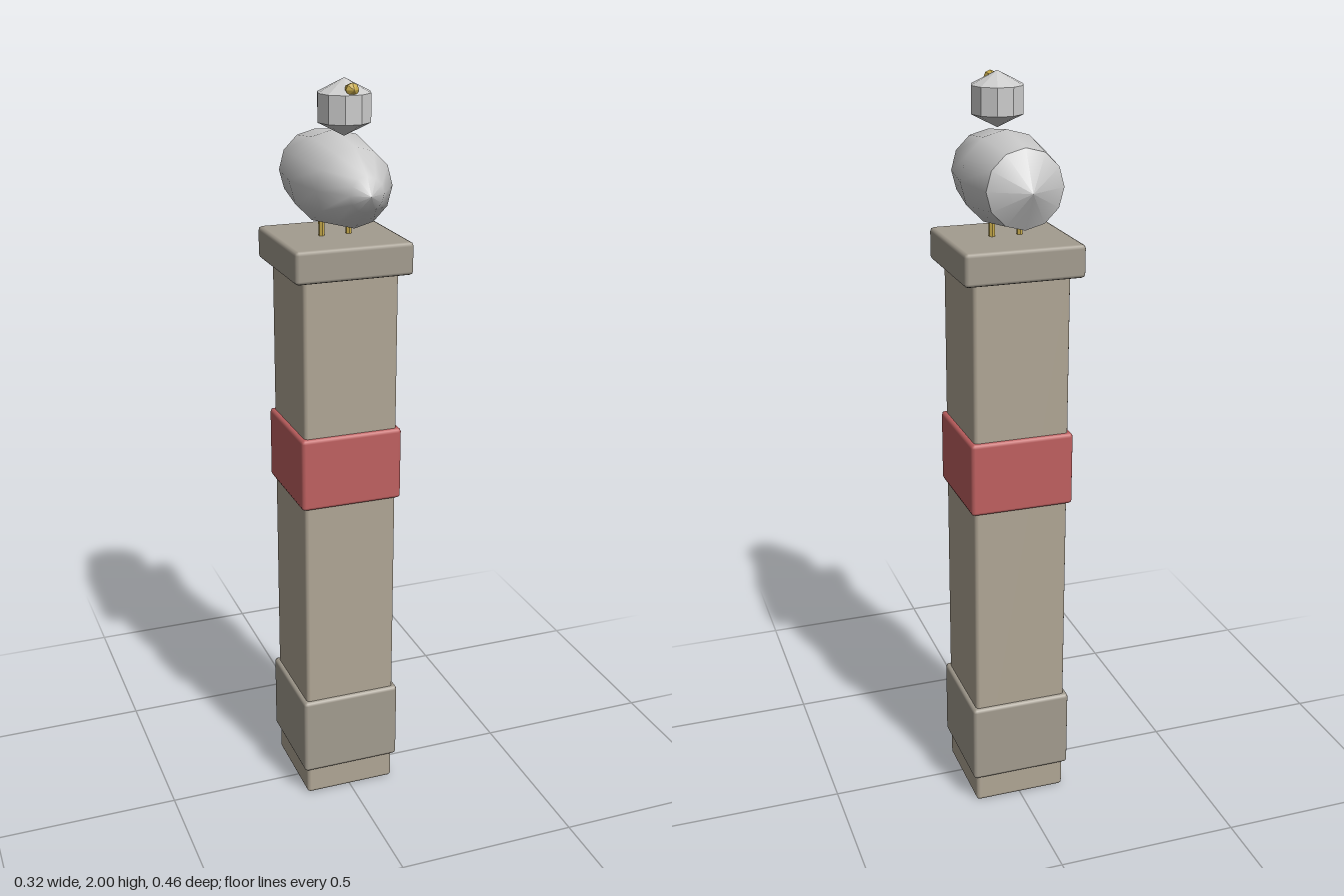
import * as THREE from 'three';
import { RoundedBoxGeometry } from 'three/addons/geometries/RoundedBoxGeometry.js';

const paint = (color, flatShading = false) => new THREE.MeshStandardMaterial({ color, flatShading });

export function createModel() {
  const model = new THREE.Group();
  const stone = paint(0xb0a695), trim = paint(0xa39c8f), red = paint(0xbf6060);
  const feather = paint(0xcccccc), featherFlat = paint(0xcccccc, true), gold = paint(0xc9ac4c, true);

  const add = (parent, name, geometry, material, x = 0, y = 0, z = 0) => {
    const mesh = new THREE.Mesh(geometry, material);
    mesh.name = name;
    mesh.position.set(x, y, z);
    parent.add(mesh);
    return mesh;
  };

  // Square post with chamfered blocks around it
  const block = (name, width, bottom, top, material) =>
    add(model, name, new RoundedBoxGeometry(width, top - bottom, width, 1, 0.01),
      material, 0, (bottom + top) / 2, -0.03);
  block('post', 0.258, 0, 1.52, stone);
  block('baseCollar', 0.28, 0.08, 0.305, trim);
  block('redBand', 0.28, 0.895, 1.095, red);
  block('cap', 0.316, 1.515, 1.6, trim);

  // Bird perched on the cap
  const bird = new THREE.Group();
  bird.name = 'bird';
  model.add(bird);

  // Turned shape lying along z; profile is [radius, z] from back to front
  const turned = (profile, sides) =>
    new THREE.LatheGeometry(profile.map(([r, z]) => new THREE.Vector2(r, z)), sides).rotateX(Math.PI / 2);

  add(bird, 'body', turned([[0.1, -0.175], [0.121, -0.03], [0.1, 0.115], [0.044, 0.2], [0, 0.229]], 12),
    feather, 0, 1.745);
  add(bird, 'tail', turned([[0, -0.231], [0.1, -0.175]], 12), feather, 0, 1.745);

  // Head: coarse ball with three bands
  add(bird, 'head', new THREE.SphereGeometry(1, 10, 3).scale(0.079, 0.07, 0.079),
    featherFlat, 0, 1.93, 0.041);
  add(bird, 'beak', turned([[0, 0.063], [0.009, 0.066], [0.014, 0.082], [0.017, 0.098], [0, 0.113]], 8),
    gold, 0, 1.977);

  for (const side of [-1, 1]) {
    add(bird, side > 0 ? 'leftLeg' : 'rightLeg',
      new THREE.CylinderGeometry(0.008, 0.008, 0.07, 6), gold, side * 0.037, 1.634, -0.025);
  }
  return model;
}
